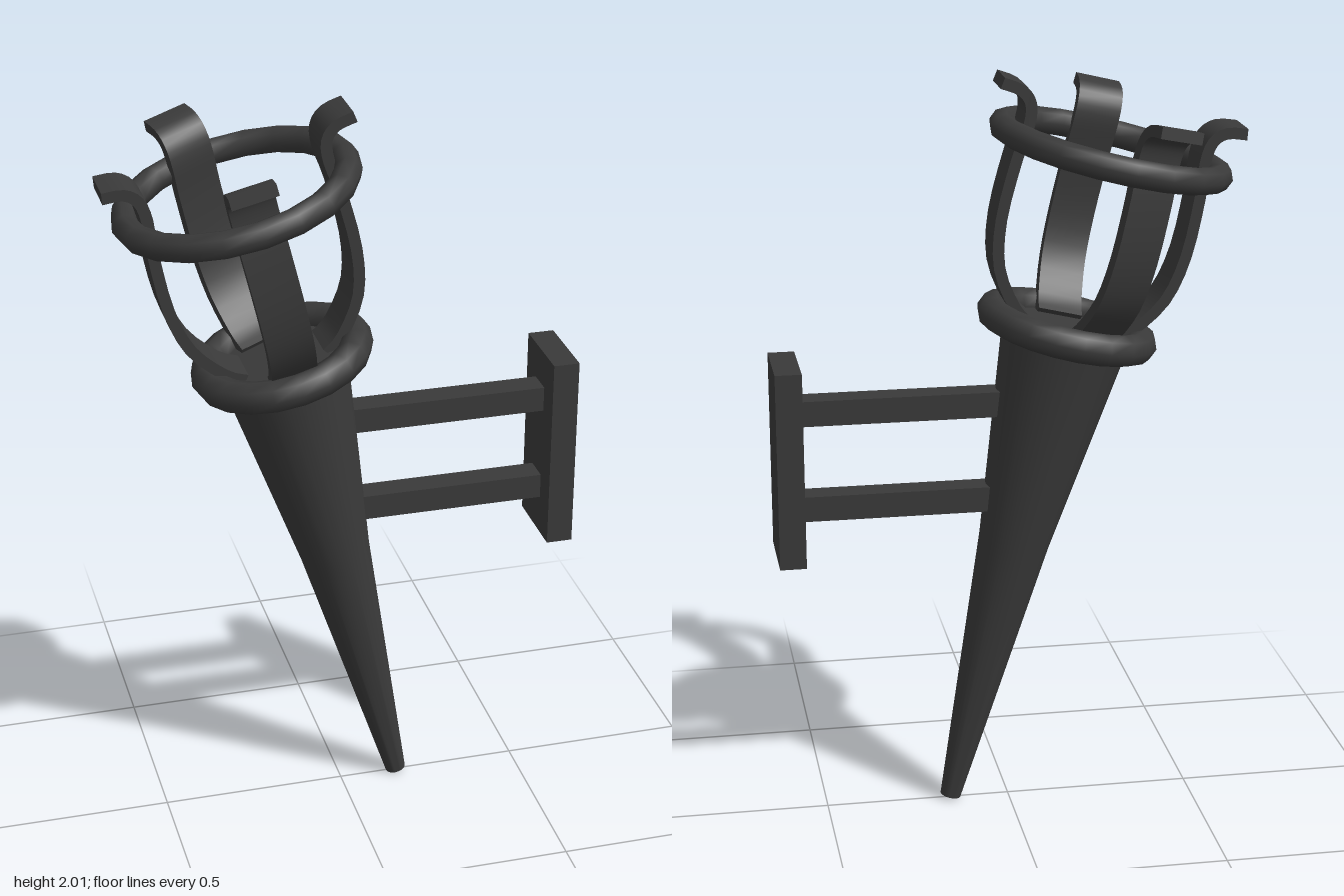
import * as THREE from 'three';
import { toCreasedNormals } from 'three/addons/utils/BufferGeometryUtils.js';

const iron = new THREE.MeshStandardMaterial({ color: 0x3a3a3a });

function addMesh(parent, name, geometry, x = 0, y = 0, z = 0) {
  const mesh = new THREE.Mesh(geometry, iron);
  mesh.name = name;
  mesh.position.set(x, y, z);
  parent.add(mesh);
  return mesh;
}

// Flat bent strip: a curve in (radius, height) thickened and given a width
function prongGeometry(width, thickness) {
  const curve = new THREE.SplineCurve([
    [0.11, 1.365], [0.16, 1.4], [0.225, 1.495], [0.25, 1.62], [0.247, 1.78],
    [0.237, 1.87], [0.244, 1.925], [0.275, 1.955], [0.328, 1.963],
  ].map(([r, h]) => new THREE.Vector2(r, h)));
  const inner = [], outer = [];
  const steps = 24;
  for (let i = 0; i <= steps; i++) {
    const p = curve.getPoint(i / steps);
    const t = curve.getTangent(i / steps);
    const side = new THREE.Vector2(t.y, -t.x).multiplyScalar(thickness / 2);
    outer.push(p.clone().add(side));
    inner.push(p.clone().sub(side));
  }
  const shape = new THREE.Shape([...outer, ...inner.reverse()]);
  const geometry = new THREE.ExtrudeGeometry(shape, { depth: width, bevelEnabled: false });
  geometry.translate(0, 0, -width / 2);
  return toCreasedNormals(geometry, 0.7);
}

export function createModel() {
  const model = new THREE.Group();
  model.name = 'wallTorch';

  // Leaning torch, built upright around its own axis
  const torch = new THREE.Group();
  torch.name = 'torch';
  torch.position.set(0.16, 0.007, 0);
  torch.rotation.z = 0.235;
  model.add(torch);

  // Tapered handle with a slight kink, closed at both ends
  const profile = [[0, 0], [0.028, 0], [0.095, 0.76], [0.172, 1.365], [0, 1.365]]
    .map(([r, h]) => new THREE.Vector2(r, h));
  addMesh(torch, 'handle', toCreasedNormals(new THREE.LatheGeometry(profile, 24), 0.6));

  // Rings round the mouth and the basket
  const rings = [['lowerRing', 0.2, 0.043, 1.365], ['upperRing', 0.288, 0.036, 1.845]];
  for (const [name, radius, tube, height] of rings) {
    const ring = new THREE.TorusGeometry(radius, tube, 8, 20).rotateX(Math.PI / 2);
    addMesh(torch, name, ring, 0, height, 0);
  }

  // Four basket prongs, the rear one set slightly askew
  const prong = prongGeometry(0.12, 0.03);
  const prongs = { leftProng: 0, backProng: Math.PI / 2 + 0.27, rightProng: Math.PI, frontProng: -Math.PI / 2 };
  for (const [name, angle] of Object.entries(prongs)) {
    addMesh(torch, name, prong).rotation.y = angle;
  }

  // Wall bracket
  const bracket = new THREE.Group();
  bracket.name = 'bracket';
  model.add(bracket);
  addMesh(bracket, 'wallPlate', new THREE.BoxGeometry(0.07, 0.53, 0.214), 0.585, 1.005, 0);
  for (const [name, y] of [['upperArm', 1.14], ['lowerArm', 0.878]]) {
    addMesh(bracket, name, new THREE.BoxGeometry(0.56, 0.068, 0.072), 0.28, y, 0);
  }

  return model;
}
